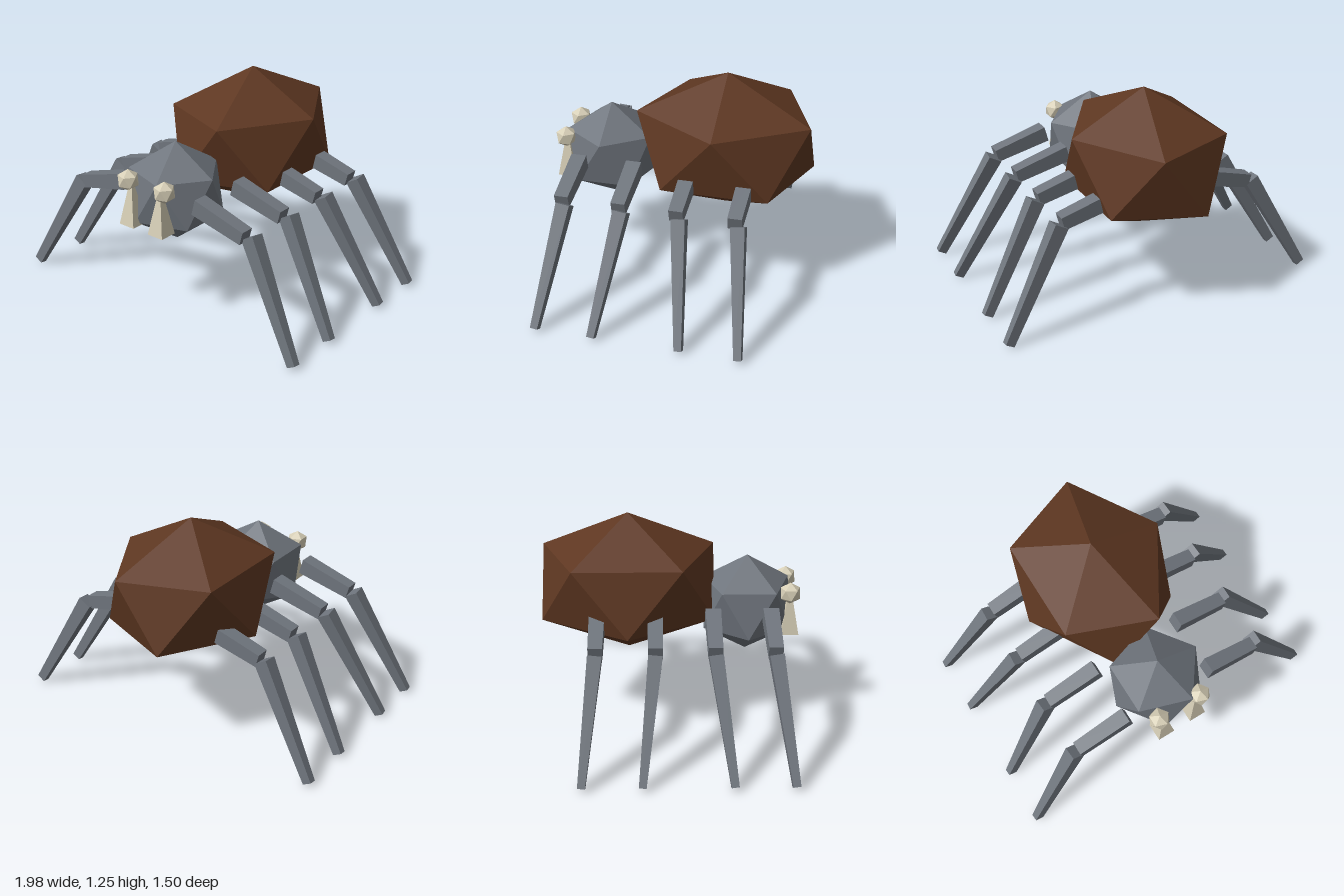
import * as THREE from 'three';

const flat = (name, color) => Object.assign(new THREE.MeshStandardMaterial({ color }), { name });

// Icosahedron standing on one corner, stretched to three radii
function ico(rx, ry, rz) {
  const g = new THREE.IcosahedronGeometry(1, 0);
  g.rotateZ(Math.atan(2 / (1 + Math.sqrt(5))) * -1);
  g.scale(rx, ry, rz);
  return g;
}

// Square bar from a to b; each end has [thickness in the leg plane, width along z]
function taperedBar(a, b, endA, endB) {
  const g = new THREE.BoxGeometry(1, 1, 1);
  const dir = b.clone().sub(a);
  const len = dir.length();
  dir.normalize();
  const across = dir.clone().cross(new THREE.Vector3(0, 0, 1)).normalize();
  const side = across.clone().cross(dir);
  const p = g.attributes.position;
  for (let i = 0; i < p.count; i++) {
    const end = p.getY(i) < 0 ? endA : endB;
    p.setXYZ(i, p.getX(i) * end[0], p.getY(i) * len, p.getZ(i) * end[1]);
  }
  g.applyMatrix4(new THREE.Matrix4().makeBasis(across, dir, side));
  const mid = a.clone().add(b).multiplyScalar(0.5);
  g.translate(mid.x, mid.y, mid.z);
  g.computeVertexNormals();
  return g;
}

export function createModel() {
  const model = new THREE.Group();
  model.name = 'spider';
  const brown = flat('abdomen brown', 0x5e3721);
  const grey = flat('body grey', 0x6f757d);
  const cream = flat('eye and fang cream', 0xd6ceb6);

  const add = (parent, name, geometry, material, x = 0, y = 0, z = 0) => {
    const mesh = new THREE.Mesh(geometry, material);
    mesh.name = name;
    mesh.position.set(x, y, z);
    parent.add(mesh);
  };

  // Body
  add(model, 'abdomen', ico(0.495, 0.42, 0.59), brown, -0.003, 0.832, -0.245);
  add(model, 'head', ico(0.298, 0.298, 0.298), grey, 0, 0.692, 0.45);

  // Eyes and fangs
  for (const s of [1, -1]) {
    const label = s > 0 ? 'left' : 'right';
    add(model, label + 'Eye', ico(0.065, 0.065, 0.065), cream, s * 0.135, 0.8, 0.695);
    let fang = new THREE.CylinderGeometry(0, 0.0525 * Math.SQRT2, 0.295, 4);
    fang.rotateY(Math.PI / 4);
    fang = fang.toNonIndexed();
    fang.computeVertexNormals();
    add(model, label + 'Fang', fang, cream, s * 0.107, 0.6925, 0.6975);
  }

  // Legs: the front two pairs splay forward, the rear two backward
  for (const s of [1, -1]) {
    [0.57, 0.24, -0.09, -0.42].forEach((z, i) => {
      const leg = new THREE.Group();
      leg.name = (s > 0 ? 'left' : 'right') + 'Leg' + (i + 1);
      const splay = (i < 2 ? 0.083 : -0.085) - (s > 0 ? 0.023 : -0.012);
      const kneeZ = z + (s > 0 ? -0.025 : 0);
      const V = (x, y, zz) => new THREE.Vector3(s * x, y, zz);
      add(leg, 'upperLeg', taperedBar(V(0.268, 0.722, z), V(0.595, 0.635, z),
        [0.095, 0.09], [0.078, 0.08]), grey);
      add(leg, 'lowerLeg', taperedBar(V(0.615, 0.632, kneeZ), V(0.967, 0.016, z + splay),
        [0.085, 0.08], [0.055, 0.042]), grey);
      model.add(leg);
    });
  }
  return model;
}
